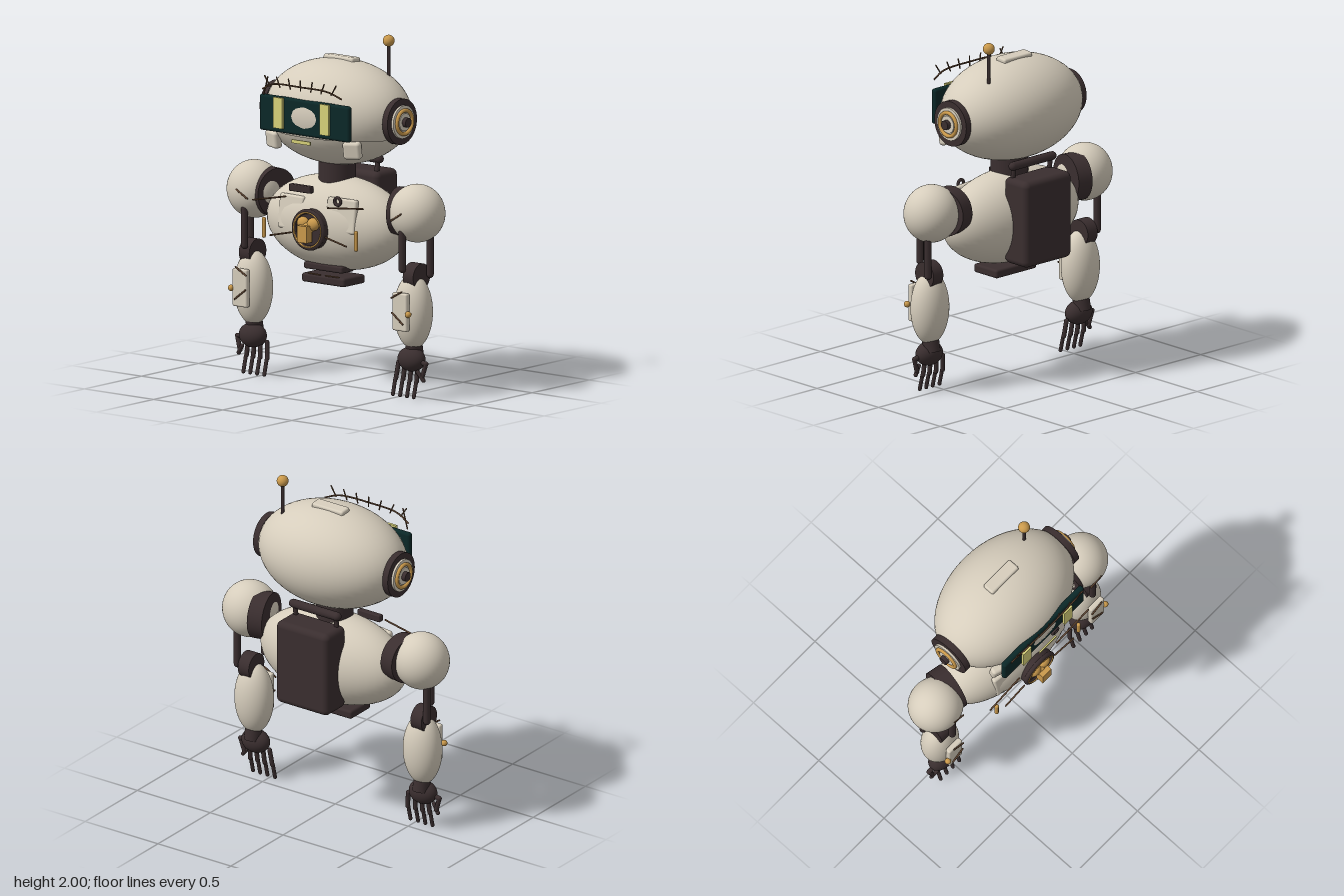
import * as THREE from 'three';
import { RoundedBoxGeometry } from 'three/addons/geometries/RoundedBoxGeometry.js';

export function createModel() {
  const model = new THREE.Group();
  model.name = 'robot';
  const mat = (name, color) => {
    const m = new THREE.MeshStandardMaterial({ color });
    m.name = name;
    return m;
  };
  const shell = mat('cream shell', 0xd6cdbc);
  const dark = mat('dark joints', 0x3a2e2f);
  const gold = mat('gold trim', 0xcb9a4c);
  const glow = mat('yellow panels', 0xd8d27a);
  const visorMat = mat('dark teal visor', 0x0b2828);
  const wireMat = mat('brown wire', 0x5e432f);

  // Helpers: every part goes through add()
  const V = (p) => new THREE.Vector3(...p);
  const add = (name, geo, material, pos = [0, 0, 0], rot = [0, 0, 0], parent = model) => {
    const m = new THREE.Mesh(geo, material);
    m.name = name;
    m.position.set(...pos);
    m.rotation.set(...rot);
    parent.add(m);
    return m;
  };
  const ball = (name, material, pos, rx, ry = rx, rz = rx, parent = model) => {
    const m = add(name, new THREE.SphereGeometry(1, 48, 32), material, pos, [0, 0, 0], parent);
    m.scale.set(rx, ry, rz);
    return m;
  };
  const block = (name, material, pos, size, r, rot, parent = model) =>
    add(name, new RoundedBoxGeometry(...size, 4, r), material, pos, rot, parent);
  const rod = (name, material, a, b, r, parent = model) => {
    const p = V(a), q = V(b), dir = q.clone().sub(p);
    const m = add(name, new THREE.CapsuleGeometry(r, dir.length(), 4, 12), material,
      p.clone().add(q).multiplyScalar(0.5).toArray(), [0, 0, 0], parent);
    m.quaternion.setFromUnitVectors(new THREE.Vector3(0, 1, 0), dir.normalize());
    return m;
  };
  // Disc with its axis along x, from x0 to x1
  const sideDisc = (name, material, x0, x1, y, z, r, parent) =>
    add(name, new THREE.CylinderGeometry(r, r, Math.abs(x1 - x0), 40), material,
      [(x0 + x1) / 2, y, z], [0, 0, Math.PI / 2], parent);

  // Head shell, jaw, top plate
  const head = new THREE.Group();
  head.name = 'head';
  model.add(head);
  ball('headShell', shell, [0, 1.555, -0.02], 0.46, 0.295, 0.318, head);
  const jaw = add('jaw', new THREE.SphereGeometry(1, 48, 16, 0, Math.PI * 2, Math.PI * 0.62, Math.PI * 0.38),
    shell, [0, 1.555, -0.005], [0, 0, 0], head);
  jaw.scale.set(0.463, 0.297, 0.318);
  block('topPlate', shell, [0, 1.845, -0.045], [0.215, 0.035, 0.075], 0.012, [-0.08, 0, 0], head);

  // Visor with glowing panels
  block('visor', visorMat, [0, 1.553, 0.273], [0.65, 0.205, 0.036], 0.016, [0, 0, 0], head);
  for (const s of [-1, 1]) {
    add('visorPanel', new THREE.BoxGeometry(0.065, 0.175, 0.016), glow, [s * 0.167, 1.567, 0.308], [0, 0, 0], head);
    block('cheekPad', shell, [s * 0.285, 1.393, 0.208], [0.105, 0.1, 0.05], 0.018, [0.15, s * 0.3, 0], head);
  }
  add('mouthLight', new THREE.BoxGeometry(0.135, 0.02, 0.009), glow, [0, 1.42, 0.312], [0, 0, 0], head);

  // Brow wire with upright spikes
  const brow = new THREE.CatmullRomCurve3([
    [-0.285, 1.69, 0.305], [-0.2, 1.728, 0.318], [0, 1.735, 0.325], [0.2, 1.728, 0.318], [0.29, 1.695, 0.305],
  ].map(V));
  add('browWire', new THREE.TubeGeometry(brow, 32, 0.005, 6), wireMat, [0, 0, 0], [0, 0, 0], head);
  for (let i = 0; i < 7; i++) {
    const x = -0.24 + i * 0.08;
    const lean = (i - 3) * 0.006;
    rod('browSpike', wireMat, [x - lean, 1.715, 0.318], [x + lean, 1.77, 0.32], 0.004, head);
  }
  rod('browStay', wireMat, [-0.28, 1.66, 0.3], [-0.235, 1.765, 0.32], 0.004, head);

  // Antenna
  rod('antennaRod', dark, [0.272, 1.74, -0.125], [0.272, 1.95, -0.125], 0.01, head);
  ball('antennaTip', gold, [0.272, 1.967, -0.125], 0.033, 0.033, 0.033, head);

  // Ears
  for (const s of [-1, 1]) {
    const y = 1.545, z = -0.013;
    sideDisc('earRing', dark, s * 0.425, s * 0.462, y, z, 0.13, head);
    sideDisc('earDisc', shell, s * 0.45, s * 0.475, y, z, 0.094, head);
    add('earTrim', new THREE.TorusGeometry(0.067, 0.011, 12, 40), gold, [s * 0.48, y, z], [0, Math.PI / 2, 0], head);
    sideDisc('earHub', shell, s * 0.46, s * 0.484, y, z, 0.05, head);
    sideDisc('earCore', dark, s * 0.46, s * 0.508, y, z, 0.027, head);
  }

  // Neck, torso, backpack with carry handle
  add('neck', new THREE.CylinderGeometry(0.105, 0.105, 0.13, 40), dark, [0, 1.215, -0.005]);
  ball('torso', shell, [0, 0.925, -0.01], 0.478, 0.268, 0.232);
  block('backpack', dark, [0, 0.955, -0.235], [0.36, 0.5, 0.19], 0.035);
  rod('packHandle', dark, [-0.15, 1.272, -0.192], [0.15, 1.272, -0.192], 0.025);
  for (const s of [-1, 1]) rod('handlePost', dark, [s * 0.14, 1.27, -0.19], [s * 0.14, 1.19, -0.18], 0.014);

  // Chest emblem
  const chest = new THREE.Group();
  chest.name = 'chestDetails';
  model.add(chest);
  add('emblemDisc', new THREE.CylinderGeometry(0.113, 0.113, 0.06, 40), dark, [0, 0.915, 0.215], [Math.PI / 2, 0, 0], chest);
  add('emblemRim', new THREE.TorusGeometry(0.104, 0.014, 10, 40), dark, [0, 0.915, 0.247], [0, 0, 0], chest);
  add('emblemTrim', new THREE.TorusGeometry(0.098, 0.005, 8, 40), gold, [0, 0.915, 0.259], [0, 0, 0], chest);
  for (const s of [-1, 1]) ball('emblemLobe', gold, [s * 0.036, 0.95, 0.25], 0.04, 0.036, 0.028, chest);
  add('emblemBlock', new THREE.BoxGeometry(0.07, 0.095, 0.05), gold, [0, 0.897, 0.283], [0, 0, 0], chest);
  ball('emblemKnob', gold, [0, 0.925, 0.255], 0.035, 0.035, 0.03, chest);

  // Chest plates, gold bars and wires
  for (const s of [-1, 1]) {
    block('chestPlate', shell, [s * 0.18, s > 0 ? 1.005 : 0.985, 0.172], [0.195, 0.195, 0.035], 0.014, [-0.12, s * 0.12, 0], chest);
    rod('chestBar', gold, [s * 0.333, 0.84, 0.235], [s * 0.333, 0.935, 0.235], 0.012, chest);
    rod('lowerChestWire', wireMat, [s * 0.275, 0.852, 0.25], [s * 0.125, 0.886, 0.25], 0.005, chest);
  }
  rod('chestWire', wireMat, [-0.4, 1.038, 0.25], [-0.165, 1.085, 0.25], 0.005, chest);
  rod('chestWire', wireMat, [0.14, 1.055, 0.25], [0.395, 1.08, 0.25], 0.005, chest);
  block('chestVent', dark, [-0.11, 1.127, 0.18], [0.155, 0.04, 0.035], 0.006, [0, 0, 0], chest);
  add('chestRing', new THREE.TorusGeometry(0.021, 0.009, 10, 24), dark, [0.175, 1.09, 0.205], [0, 0, 0], chest);

  // Waist and hanging base plate
  block('waistBlock', dark, [0, 0.682, 0.07], [0.28, 0.04, 0.11], 0.012);
  block('basePlate', dark, [0, 0.611, 0.03], [0.31, 0.05, 0.19], 0.014);
  for (const s of [-1, 1]) rod('baseWire', wireMat, [s * 0.11, 0.638, 0.115], [s * 0.02, 0.638, 0.12], 0.004);

  // Arms
  for (const s of [-1, 1]) {
    const arm = new THREE.Group();
    arm.name = s > 0 ? 'leftArm' : 'rightArm';
    model.add(arm);
    const P = (x, y, z) => [s * x, y, z];
    const link = (name, m, a, b, r) => rod(name, m, P(...a), P(...b), r, arm);

    // Shoulder
    ball('shoulder', shell, P(0.588, 1.045, 0.007), 0.16, 0.164, 0.153, arm);
    const cuff = sideDisc('shoulderCuff', dark, s * 0.435, s * 0.525, 1.04, -0.012, 0.136, arm);
    cuff.rotation.set(0, s * 0.2, Math.PI / 2);
    link('shoulderWire', wireMat, [0.595, 1.06, 0.16], [0.52, 1.015, 0.155], 0.005);

    // Upper arm rods and elbow
    link('upperArmRod', dark, [0.57, 0.95, 0.118], [0.57, 0.74, 0.118], 0.021);
    link('upperArmRod', dark, [0.65, 0.95, -0.03], [0.65, 0.7, -0.03], 0.021);
    sideDisc('elbow', dark, s * 0.555, s * 0.63, 0.69, 0.02, 0.075, arm);

    // Forearm with plate, knob and wires
    ball('forearm', shell, P(0.578, 0.49, 0.03), 0.116, 0.212, 0.1, arm);
    block('forearmPlate', shell, P(0.578, 0.502, 0.138), [0.105, 0.215, 0.034], 0.01, [0, 0, 0], arm);
    ball('forearmKnob', gold, P(0.64, 0.495, 0.15), 0.018, 0.018, 0.018, arm);
    link('forearmWire', wireMat, [0.6, 0.62, 0.16], [0.525, 0.578, 0.16], 0.005);
    link('forearmWire', wireMat, [0.607, 0.437, 0.16], [0.53, 0.495, 0.16], 0.005);

    // Hand
    add('wrist', new THREE.CylinderGeometry(0.048, 0.048, 0.08, 24), dark, P(0.578, 0.275, 0.02), [0.2, 0, 0], arm);
    ball('palm', dark, P(0.574, 0.22, 0.04), 0.088, 0.069, 0.062, arm);
    for (const x of [0.465, 0.517, 0.567, 0.616]) {
      const root = 0.57 + (x - 0.57) * 0.9;
      link('fingerBase', dark, [root, 0.19, 0.035], [x, 0.1, 0.045], 0.013);
      link('fingerTip', dark, [x, 0.1, 0.05], [x, 0.012, 0.072], 0.011);
    }
    link('thumbBase', dark, [0.62, 0.215, 0.045], [0.682, 0.205, 0.045], 0.014);
    link('thumbMiddle', dark, [0.682, 0.205, 0.045], [0.658, 0.125, 0.05], 0.013);
    link('thumbTip', dark, [0.668, 0.11, 0.05], [0.635, 0.155, 0.06], 0.012);
  }

  return model;
}
